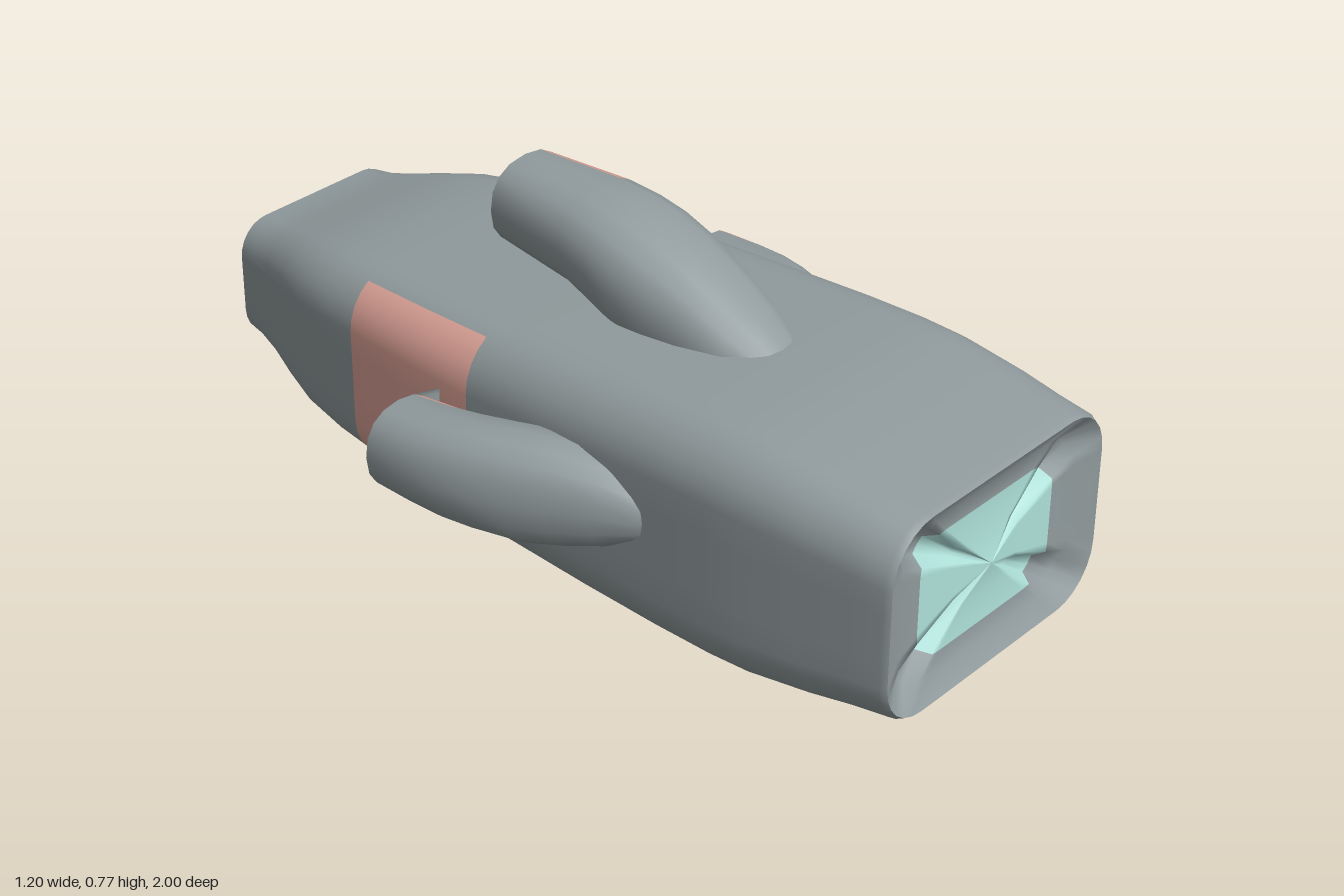
import * as THREE from 'three';

const grey = new THREE.MeshStandardMaterial({ name: 'hullGrey', color: 0x919b9d });
const pink = new THREE.MeshStandardMaterial({ name: 'panelPink', color: 0xdca297 });
const cyan = new THREE.MeshStandardMaterial({ name: 'glowCyan', color: 0xaee0d9 });

// Skin through equal-length rings, ordered front to back; accent(i, k) picks the second material.
function loft(name, rings, mats, accent = () => false) {
  const n = rings[0].length;
  const base = [], extra = [];
  for (let i = 0; i < rings.length - 1; i++) {
    for (let k = 0; k < n; k++) {
      const a = i * n + k, b = i * n + (k + 1) % n, c = a + n, d = b + n;
      (accent(i, k) ? extra : base).push(a, c, b, b, c, d);
    }
  }
  const g = new THREE.BufferGeometry();
  g.setAttribute('position', new THREE.Float32BufferAttribute(rings.flat(2), 3));
  g.setIndex([...base, ...extra]);
  g.addGroup(0, base.length, 0);
  g.addGroup(base.length, extra.length, 1);
  g.computeVertexNormals();
  const mesh = new THREE.Mesh(g, mats);
  mesh.name = name;
  return mesh;
}

// Rounded rectangle: per quarter, 7 corner points then 3 points along the next edge.
function roundedRing(z, w, bottom, top) {
  const cy = (top + bottom) / 2, h = (top - bottom) / 2, r = 0.34 * w;
  const pts = [];
  const corner = (q, j) => {
    const a = (q + j / 6) * Math.PI / 2;
    const sx = q === 0 || q === 3 ? 1 : -1, sy = q < 2 ? 1 : -1;
    return [sx * (w - r) + r * Math.cos(a), cy + sy * (h - r) + r * Math.sin(a), z];
  };
  for (let q = 0; q < 4; q++) {
    for (let j = 0; j <= 6; j++) pts.push(corner(q, j));
    const p = corner(q, 6), e = corner((q + 1) % 4, 0);
    for (let j = 1; j <= 3; j++) pts.push(p.map((v, m) => v + (e[m] - v) * j / 4));
  }
  return pts;
}

// Slightly squared ellipse with 16 sides.
function podRing([z, cx, cy, rx, ry]) {
  const soft = v => Math.sign(v) * Math.abs(v) ** 0.85;
  return Array.from({ length: 16 }, (_, k) => {
    const a = k * Math.PI / 8;
    return [cx + rx * soft(Math.cos(a)), cy + ry * soft(Math.sin(a)), z];
  });
}

// Shrinks a ring toward its centre and pushes it along z; corners may be pushed further.
function inset(ring, t, push, cornerPush = 0) {
  const cy = ring.reduce((s, p) => s + p[1], 0) / ring.length;
  return ring.map(([x, y, z], k) => {
    const u = Math.abs((k % 10) - 3);
    return [x * t, cy + (y - cy) * t, z + push + (u < 2 || u > 8 ? cornerPush : 0)];
  });
}

// Pod with a pink patch on its +x side near the tail, and a shallow dished tail.
function pod(name, sections, fromK, toK) {
  const g = new THREE.Group();
  g.name = name;
  const rings = sections.map(podRing);
  const last = rings.length - 1;
  const inPatch = k => (toK > k && k >= 0) || k >= 16 + fromK;
  g.add(loft(name + 'Shell', rings, [grey, pink], (i, k) => i === last - 1 && inPatch(k)));
  const tail = rings[last];
  g.add(loft(name + 'Tail', [tail, inset(tail, 0.5, 0.02), inset(tail, 0.001, 0.03)], [grey, pink]));
  return g;
}

export function createModel() {
  const model = new THREE.Group();
  model.name = 'spaceshipHull';

  // Main hull: z, half width, bottom, top
  const hull = [
    [1, 0.352, 0.053, 0.517], [0.985, 0.36, 0.047, 0.523], [0.9, 0.368, 0.037, 0.533],
    [0.8, 0.38, 0.022, 0.547], [0.65, 0.393, 0.005, 0.562], [0.55, 0.396, 0.002, 0.565],
    [0.4, 0.396, 0.004, 0.563], [0.2, 0.395, 0.012, 0.555], [0, 0.391, 0.022, 0.547],
    [-0.11, 0.389, 0.027, 0.541], [-0.3, 0.376, 0.036, 0.531], [-0.5, 0.356, 0.048, 0.519],
    [-0.6, 0.345, 0.056, 0.511], [-0.7, 0.328, 0.07, 0.498], [-0.8, 0.295, 0.094, 0.475],
    [-0.88, 0.265, 0.116, 0.454], [-0.95, 0.245, 0.131, 0.439], [-1, 0.235, 0.135, 0.435],
  ].map(s => roundedRing(...s));
  // The pink panel wraps the -x side between the rings at z = -0.11 and z = -0.5
  model.add(loft('hull', hull, [grey, pink], (i, k) => (i === 9 || i === 10) && k >= 12 && k < 24));

  // Creased front plate with a cyan centre
  const nose = hull[0];
  const face = [[0.001, -0.015, 0], [0.3, -0.03, -0.02], [0.63, -0.03, -0.03],
    [0.82, -0.025, -0.02], [1, 0, 0]].map(s => inset(nose, ...s));
  model.add(loft('frontPlate', face, [grey, cyan], i => i < 2));

  // Dished rear plate
  const stern = hull[hull.length - 1];
  model.add(loft('rearPlate', [stern, inset(stern, 0.5, 0.02), inset(stern, 0.001, 0.035)], [grey, pink]));

  // Side pods: z, centre x, centre y, radii
  const side = [
    [0.45, 0.28, 0.31, 0.06, 0.03], [0.39, 0.33, 0.31, 0.074, 0.062], [0.3, 0.36, 0.31, 0.096, 0.1],
    [0.22, 0.395, 0.31, 0.103, 0.117], [0.14, 0.428, 0.308, 0.108, 0.126], [0.05, 0.46, 0.31, 0.108, 0.121],
    [-0.02, 0.479, 0.311, 0.107, 0.115], [-0.1, 0.492, 0.312, 0.103, 0.107], [-0.2, 0.499, 0.313, 0.1, 0.098],
  ];
  model.add(pod('leftPod', side, -2, 3));
  model.add(pod('rightPod', side.map(([z, x, ...r]) => [z, -x, ...r]), -2, 3));

  // Top pod
  model.add(pod('topPod', [
    [0.48, 0, 0.47, 0.05, 0.05], [0.42, 0, 0.49, 0.085, 0.085], [0.35, 0, 0.515, 0.112, 0.108],
    [0.25, 0, 0.555, 0.128, 0.125], [0.16, 0, 0.587, 0.141, 0.135], [0.07, 0, 0.618, 0.147, 0.133],
    [0, 0, 0.642, 0.143, 0.123], [-0.08, 0, 0.662, 0.133, 0.112], [-0.3, 0, 0.673, 0.11, 0.098],
  ], -3, 3));

  return model;
}
